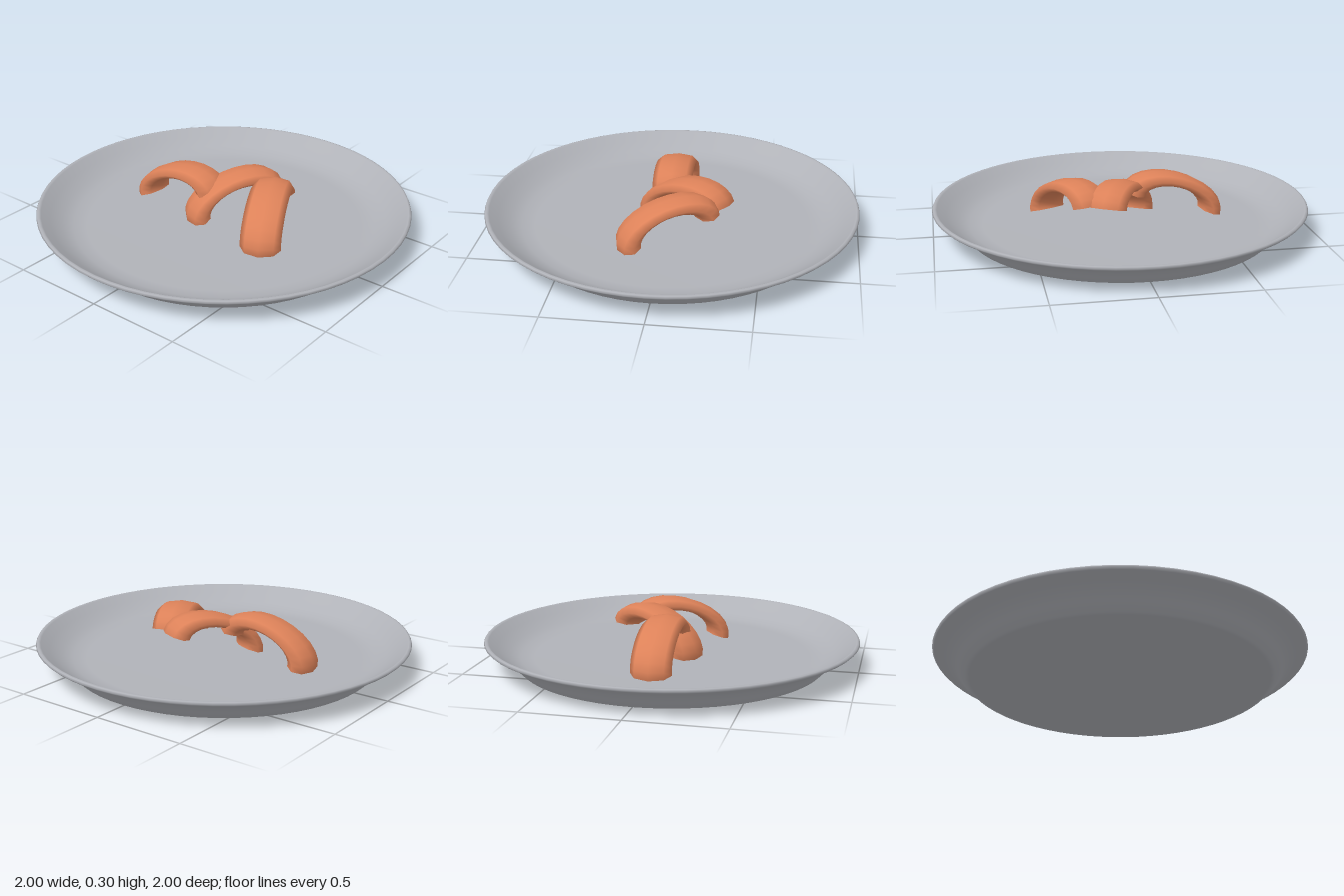
import * as THREE from 'three';
import { mergeGeometries } from 'three/addons/utils/BufferGeometryUtils.js';

const plateGrey = new THREE.MeshStandardMaterial({ color: 0xb0b2b8 });
plateGrey.name = 'plate grey';
const sausageOrange = new THREE.MeshStandardMaterial({ color: 0xdd8259 });
sausageOrange.name = 'sausage orange';

// Flattened half ring with closed ends, tipped so its -x end is the lower one
function sausageGeometry() {
  const ring = 0.22, tube = 0.065, sides = 8;
  const parts = [new THREE.TorusGeometry(ring, tube, sides, 12, Math.PI)];
  for (const x of [-ring, ring]) {
    parts.push(new THREE.CircleGeometry(tube, sides).rotateX(Math.PI / 2).translate(x, 0, 0));
  }
  return mergeGeometries(parts).scale(1, 0.55, 1.65).rotateZ(THREE.MathUtils.degToRad(16));
}

export function createModel() {
  const model = new THREE.Group();
  model.name = 'plateOfSausages';

  // Shallow dish: underside, flared wall, thin rim, then the inside back to the centre
  const profile = [
    [0, 0], [0.8, 0], [0.82, 0.004], [0.86, 0.045], [0.9, 0.085], [0.95, 0.112],
    [0.99, 0.132], [1, 0.142], [0.995, 0.152], [0.985, 0.155], [0.975, 0.149],
    [0.93, 0.115], [0.87, 0.075], [0.81, 0.053], [0.74, 0.045], [0, 0.045],
  ].map(([r, y]) => new THREE.Vector2(r, y));
  const plate = new THREE.Mesh(new THREE.LatheGeometry(profile, 64), plateGrey);
  plate.name = 'plate';
  model.add(plate);

  // Three curved sausages leaning on each other: x, z, turn in degrees
  const geometry = sausageGeometry();
  const places = [
    ['sausageRight', -0.285, 0.01, 0],
    ['sausageMiddle', 0.01, -0.08, 60],
    ['sausageLeft', 0.285, -0.015, 116],
  ];
  for (const [name, x, z, turn] of places) {
    const sausage = new THREE.Mesh(geometry, sausageOrange);
    sausage.name = name;
    sausage.position.set(x, 0.13, z);
    sausage.rotation.y = THREE.MathUtils.degToRad(turn);
    model.add(sausage);
  }
  return model;
}
